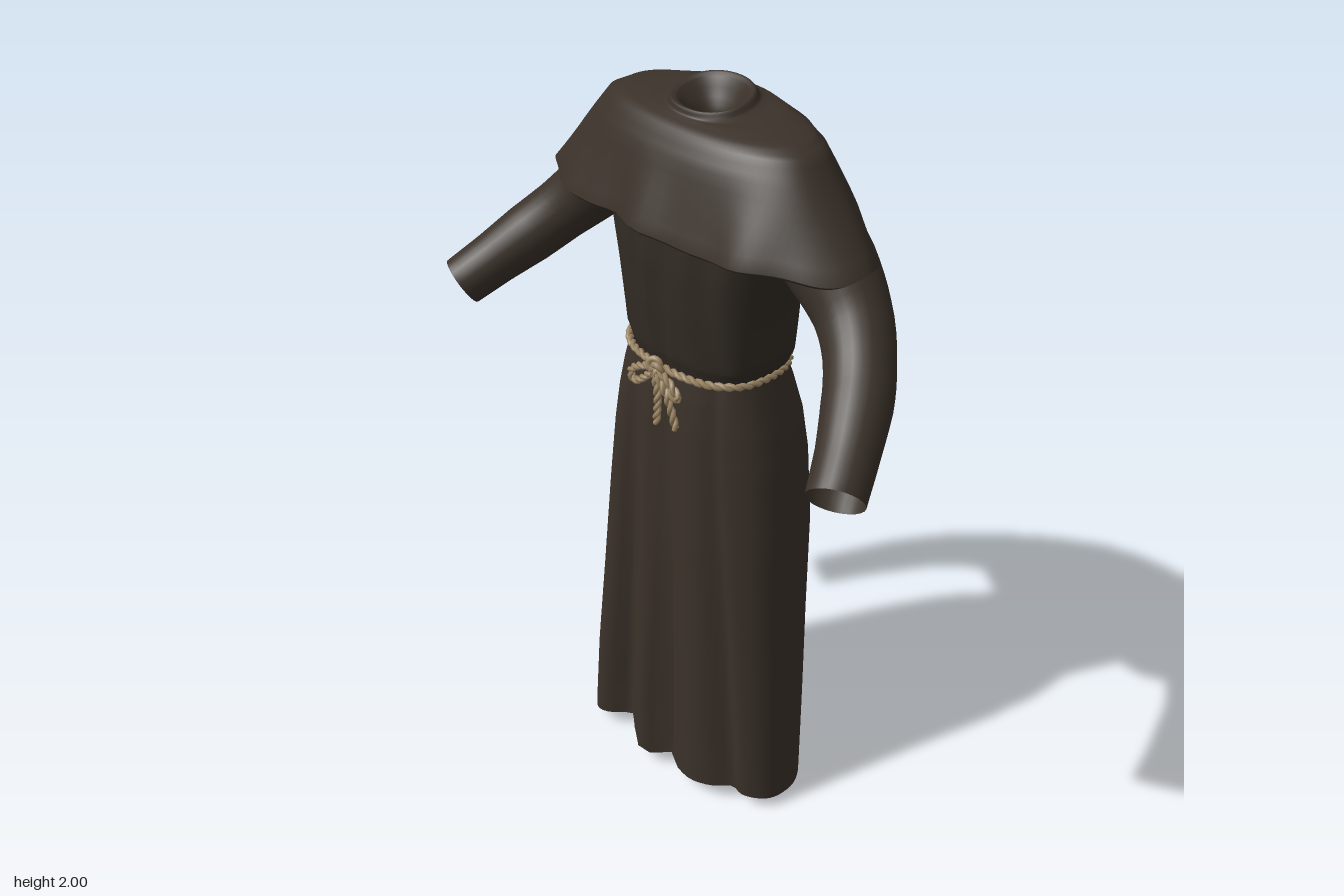
import * as THREE from 'three';
import { mergeVertices } from 'three/addons/utils/BufferGeometryUtils.js';

const cloth = new THREE.MeshStandardMaterial({ color: 0x3a3129, side: THREE.DoubleSide });
cloth.name = 'brown wool';
const clothDark = new THREE.MeshStandardMaterial({ color: 0x322b24, side: THREE.DoubleSide });
clothDark.name = 'dark brown wool';
const hempMat = new THREE.MeshStandardMaterial({ color: 0x9c8664 });
hempMat.name = 'hemp';

const SIDES = 96;
const bump = (x, c, w) => Math.exp(-(((x - c) / w) ** 2));
const step = THREE.MathUtils.smoothstep;

// Point on a rounded section; ring = [y, centreX, halfWidth, zFront, zBack], e < 1 is boxier
function sectionPoint(ring, a, e = 1) {
  const [y, cx, hw, zf, zb] = ring;
  const pw = (v) => Math.sign(v) * Math.abs(v) ** e;
  const zc = THREE.MathUtils.lerp(zb, zf, 0.52);
  const s = pw(Math.sin(a));
  return new THREE.Vector3(cx + hw * pw(Math.cos(a)), y, zc + s * (s > 0 ? zf - zc : zc - zb));
}

// Closed shell through a list of rings, subdivided and shaped by a fold rule
function loft(rings, { e = 1, sub = 4, rule = () => {} } = {}) {
  const rows = [];
  rings.forEach((r, i) => {
    const next = rings[i + 1];
    if (!next) return rows.push(r);
    for (let k = 0; k < sub; k++) rows.push(r.map((v, n) => THREE.MathUtils.lerp(v, next[n], k / sub)));
  });
  const pos = [], idx = [];
  rows.forEach((r, i) => {
    for (let j = 0; j < SIDES; j++) {
      const a = (j / SIDES) * Math.PI * 2;
      const p = sectionPoint(r, a, e);
      rule(p, a);
      pos.push(p.x, p.y, p.z);
      if (i === rows.length - 1) continue;
      const A = i * SIDES + j, B = i * SIDES + ((j + 1) % SIDES);
      idx.push(A, A + SIDES, B, B, A + SIDES, B + SIDES);
    }
  });
  const g = new THREE.BufferGeometry();
  g.setAttribute('position', new THREE.Float32BufferAttribute(pos, 3));
  g.setIndex(idx);
  g.computeVertexNormals();
  return g;
}

function add(parent, name, geometry, material) {
  const m = new THREE.Mesh(geometry, material);
  m.name = name;
  parent.add(m);
  return m;
}

// Tube whose radius follows a list of values along its length
function taperedTube(points, radii) {
  const n = 28, sides = 24;
  const curve = new THREE.CatmullRomCurve3(points.map((p) => new THREE.Vector3(...p)));
  let g = new THREE.TubeGeometry(curve, n, 1, sides, false);
  const P = g.attributes.position, v = new THREE.Vector3();
  for (let i = 0; i <= n; i++) {
    const c = curve.getPointAt(i / n);
    const f = (i / n) * (radii.length - 1), k = Math.min(Math.floor(f), radii.length - 2);
    const r = THREE.MathUtils.lerp(radii[k], radii[k + 1], f - k);
    for (let j = 0; j <= sides; j++) {
      const id = i * (sides + 1) + j;
      v.fromBufferAttribute(P, id).sub(c).multiplyScalar(r).add(c);
      P.setXYZ(id, v.x, v.y, v.z);
    }
  }
  g.deleteAttribute('uv');
  g.deleteAttribute('normal');
  g = mergeVertices(g, 1e-5);
  g.computeVertexNormals();
  return g;
}

// Rope of two strands wound around a path
function rope(parent, name, points, closed = false) {
  const group = new THREE.Group();
  group.name = name;
  const curve = new THREE.CatmullRomCurve3(points, closed);
  const n = Math.max(16, Math.round(curve.getLength() / 0.008));
  const turns = Math.max(2, Math.round(curve.getLength() / 0.05));
  const { normals, binormals } = curve.computeFrenetFrames(n, closed);
  for (const phase of [0, Math.PI]) {
    const pts = [];
    for (let i = 0; i <= n - (closed ? 1 : 0); i++) {
      const a = (i / n) * turns * Math.PI * 2 + phase;
      pts.push(curve.getPointAt(i / n)
        .addScaledVector(normals[i], Math.cos(a) * 0.005)
        .addScaledVector(binormals[i], Math.sin(a) * 0.005));
    }
    add(group, 'strand', new THREE.TubeGeometry(new THREE.CatmullRomCurve3(pts, closed), n, 0.0065, 6, closed), hempMat);
  }
  parent.add(group);
}

export function createModel() {
  const robe = new THREE.Group();
  robe.name = 'robe';

  // Long skirt: deep folds in front that fade toward the waist, uneven hem
  add(robe, 'skirt', loft([
    [0.03, -0.022, 0.357, 0.125, -0.2],
    [0.3, -0.018, 0.338, 0.122, -0.213],
    [0.6, -0.01, 0.313, 0.118, -0.228],
    [0.9, 0, 0.292, 0.115, -0.24],
    [1.1, 0.003, 0.268, 0.112, -0.24],
    [1.2, 0.004, 0.246, 0.11, -0.235],
    [1.28, 0.004, 0.222, 0.105, -0.217],
    [1.34, 0.004, 0.203, 0.097, -0.197],
  ], {
    e: 0.8, sub: 5,
    rule: (p, a) => {
      const low = 1 - p.y / 1.34, s = Math.sin(a);
      const u = p.x / (0.62 + 0.38 * low);
      const front = step(s, 0.1, 0.5), back = step(-s, 0.1, 0.5);
      const k = 0.25 + 0.75 * Math.min(1, low * 1.3);
      p.z += front * k * (0.045 * bump(u, -0.27, 0.065) + 0.04 * bump(u, -0.05, 0.05)
        + 0.022 * bump(u, 0.14, 0.07) - 0.03 * bump(u, -0.17, 0.03)
        - 0.03 * bump(u, 0.025, 0.022) - 0.022 * bump(u, 0.24, 0.025));
      p.z += back * k * 0.008 * Math.cos(p.x * 34);
      const hem = 1 - step(p.y, 0.03, 0.3);
      p.y += hem * (0.022 * s + 0.008 * Math.cos(p.x * 16 + 2.5));
    },
  }), cloth);

  // Upper body, bloused slightly over the belt, with fine gathers
  add(robe, 'torso', loft([
    [1.335, 0.004, 0.203, 0.097, -0.197],
    [1.38, 0.006, 0.217, 0.11, -0.208],
    [1.5, 0.006, 0.227, 0.119, -0.21],
    [1.62, 0.006, 0.242, 0.121, -0.21],
    [1.72, 0.004, 0.258, 0.115, -0.21],
    [1.82, 0, 0.26, 0.09, -0.2],
  ], {
    e: 0.78, sub: 5,
    rule: (p, a) => {
      const s = Math.sin(a), front = step(Math.abs(s), 0.1, 0.5) * Math.sign(s);
      p.z += front * (0.004 * Math.cos(p.x * 60 + Math.sin(p.y * 9)) + 0.004 * Math.cos(p.x * 27));
      if (s > 0) p.z -= 0.02 * bump(p.x, 0.01, 0.012);
    },
  }), clothDark);

  // Shoulder cape with turned-under hem, collar and recessed neck opening
  add(robe, 'shoulderCape', loft([
    [1.735, 0, 0.455, 0.135, -0.22],
    [1.703, 0, 0.478, 0.15, -0.238],
    [1.712, 0, 0.49, 0.158, -0.247],
    [1.8, 0, 0.418, 0.128, -0.24],
    [1.88, 0, 0.352, 0.1, -0.218],
    [1.925, 0, 0.316, 0.075, -0.2],
    [1.945, 0, 0.275, 0.055, -0.188],
    [1.958, 0, 0.19, 0.038, -0.172],
    [1.963, 0, 0.112, 0.03, -0.155],
    [1.982, 0, 0.1, 0.026, -0.14],
    [1.975, 0, 0.085, 0.012, -0.128],
    [1.93, 0, 0.052, -0.01, -0.1],
    [1.885, 0, 0.045, -0.018, -0.092],
    [1.88, 0, 0.0005, -0.055, -0.056],
  ], {
    e: 0.92, sub: 3,
    rule: (p, a) => {
      const drape = 1 - step(p.y, 1.7, 1.9), s = Math.sin(a);
      p.z += drape * s * (0.01 * Math.cos(p.x * 22) + 0.004 * Math.cos(p.x * 41 + 1));
      p.y += drape * 0.006 * Math.cos(a * 7 + 0.6);
      p.y -= step(p.y, 1.93, 1.98) * (p.z + 0.057) * 0.21;
    },
  }), cloth);

  // Sleeves bending forward to open cuffs
  for (const s of [1, -1]) {
    const path = [[0.19, 1.8, -0.07], [0.33, 1.71, -0.075], [0.45, 1.6, -0.055],
      [0.535, 1.51, 0.01], [0.605, 1.425, 0.11], [0.662, 1.35, 0.212]];
    add(robe, s > 0 ? 'leftSleeve' : 'rightSleeve',
      taperedTube(path.map(([x, y, z]) => [x * s, y, z]), [0.1, 0.11, 0.102, 0.088, 0.08, 0.078, 0.07, 0.066]), cloth);
  }

  // Rope belt around the waist
  const V = (x, y, z) => new THREE.Vector3(x, y, z);
  const belt = [];
  for (let i = 0; i < 40; i++) {
    belt.push(sectionPoint([1.342, 0.004, 0.209, 0.108, -0.203], (i / 40) * Math.PI * 2, 0.8));
  }
  rope(robe, 'ropeBelt', belt, true);

  // Knot, bow loops and hanging ends
  const knot = add(robe, 'beltKnot', new THREE.TorusKnotGeometry(0.015, 0.008, 48, 6), hempMat);
  knot.position.set(0, 1.345, 0.125);
  rope(robe, 'bowLoop', [V(0, 1.342, 0.125), V(-0.05, 1.33, 0.128), V(-0.09, 1.295, 0.126),
    V(-0.08, 1.277, 0.126), V(-0.05, 1.292, 0.13), V(0, 1.338, 0.13)]);
  rope(robe, 'smallLoop', [V(0, 1.342, 0.125), V(0.05, 1.327, 0.128), V(0.085, 1.292, 0.126),
    V(0.06, 1.295, 0.128), V(0, 1.338, 0.13)]);
  rope(robe, 'hangingEndLong', [V(0, 1.338, 0.13), V(0.016, 1.29, 0.134), V(0.014, 1.24, 0.133), V(0.008, 1.195, 0.132)]);
  rope(robe, 'hangingEndShort', [V(0, 1.338, 0.13), V(0.045, 1.3, 0.134), V(0.064, 1.25, 0.132), V(0.076, 1.207, 0.13)]);

  return robe;
}
